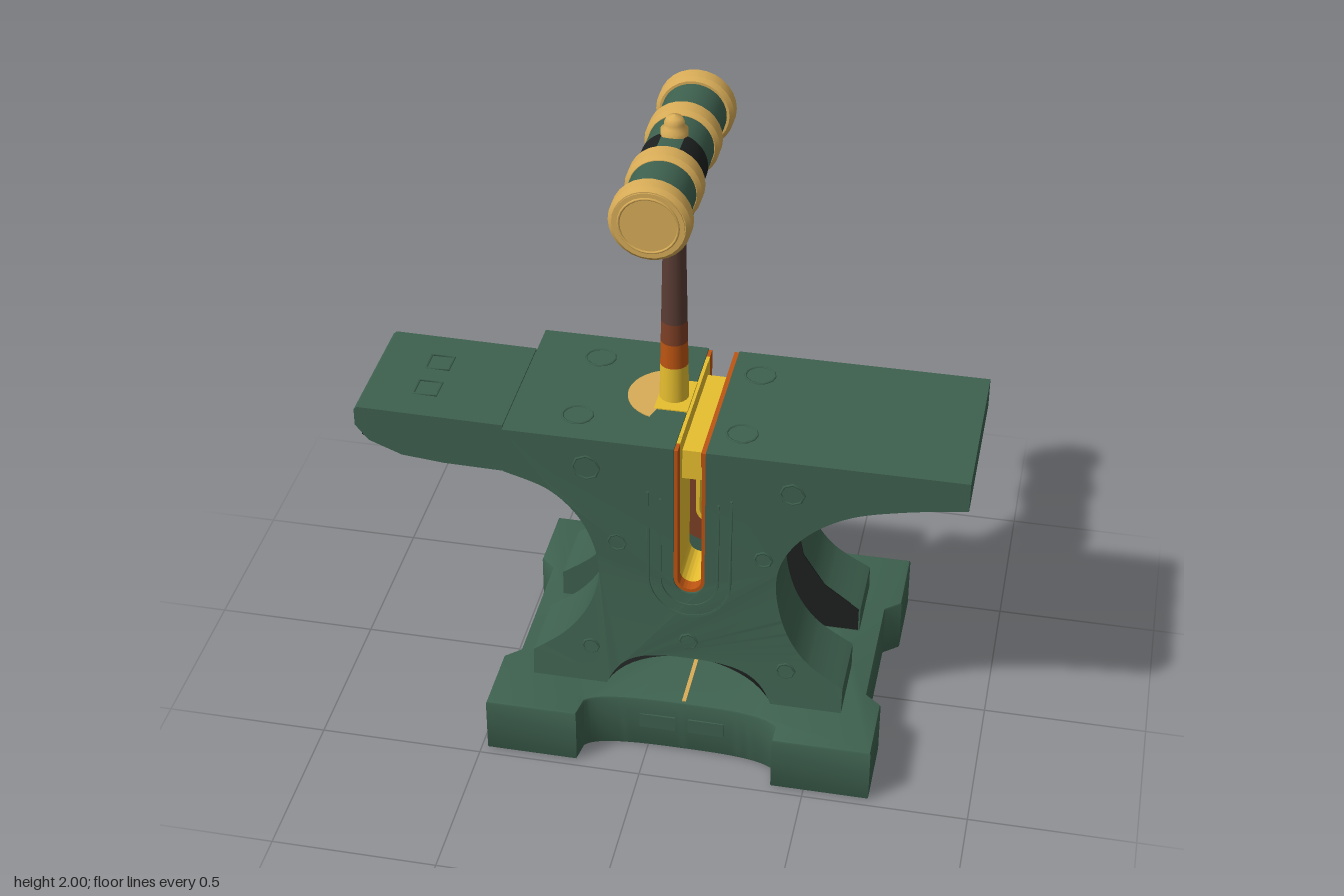
import * as THREE from 'three';
import { toCreasedNormals } from 'three/addons/utils/BufferGeometryUtils.js';

const material = (name, color, side = THREE.FrontSide) => {
  const m = new THREE.MeshStandardMaterial({ color, side });
  m.name = name;
  return m;
};

export function createModel() {
  const root = new THREE.Group();
  root.name = 'anvilAndHammer';
  const green = material('green iron', 0x3e614f);
  const dark = material('soot', 0x1c201f, THREE.DoubleSide);
  const gold = material('brass', 0xd9ad58);
  const yellow = material('hot yellow', 0xebc230);
  const orange = material('hot orange', 0xbd5512);
  const rust = material('rust', 0x7d3f25);
  const brown = material('brown grip', 0x5a3c34);

  const add = (name, geo, mat, x = 0, y = 0, z = 0, parent = root) => {
    const mesh = new THREE.Mesh(geo, mat);
    mesh.name = name;
    mesh.position.set(x, y, z);
    parent.add(mesh);
    return mesh;
  };
  const v2 = (pts) => pts.map(([x, y]) => new THREE.Vector2(x, y));
  const poly = (pts) => new THREE.Shape(v2(pts));
  // Extrude a shape between two depths, optionally bending its vertices by a rule
  const slab = (shape, z0, z1, rule, bevel = 0) => {
    const geo = new THREE.ExtrudeGeometry(shape, {
      depth: z1 - z0 - 2 * bevel, curveSegments: 16,
      bevelEnabled: bevel > 0, bevelSize: bevel, bevelThickness: bevel, bevelOffset: -bevel, bevelSegments: 2,
    });
    geo.translate(0, 0, z0 + bevel);
    if (rule) {
      const p = geo.attributes.position;
      for (let i = 0; i < p.count; i++) p.setZ(i, rule(p.getX(i), p.getY(i), p.getZ(i)));
    }
    return toCreasedNormals(geo, 0.6);
  };

  // Base with cut-back sides and four corner blocks
  const b = new THREE.Shape();
  b.moveTo(-0.48, -0.475);
  b.lineTo(-0.2, -0.475);
  b.lineTo(-0.19, -0.41);
  b.bezierCurveTo(-0.16, -0.365, 0, -0.365, 0.11, -0.365);
  b.bezierCurveTo(0.22, -0.365, 0.36, -0.365, 0.4, -0.41);
  b.lineTo(0.4, -0.475);
  b.lineTo(0.698, -0.475);
  b.lineTo(0.698, -0.25);
  b.lineTo(0.65, -0.21);
  b.lineTo(0.65, 0.21);
  b.lineTo(0.698, 0.25);
  b.lineTo(0.698, 0.475);
  b.lineTo(0.4, 0.475);
  b.lineTo(0.4, 0.41);
  b.bezierCurveTo(0.36, 0.365, 0.22, 0.365, 0.11, 0.365);
  b.bezierCurveTo(0, 0.365, -0.16, 0.365, -0.19, 0.41);
  b.lineTo(-0.2, 0.475);
  b.lineTo(-0.48, 0.475);
  b.lineTo(-0.48, 0.25);
  b.lineTo(-0.435, 0.21);
  b.lineTo(-0.435, -0.21);
  b.lineTo(-0.48, -0.25);
  const baseGeo = slab(b, 0, 0.185, null, 0.008);
  baseGeo.rotateX(-Math.PI / 2);
  add('base', baseGeo, green);
  add('baseGlowSeam', new THREE.BoxGeometry(0.012, 0.006, 0.71), gold, 0.11, 0.185, 0);

  // Side plates: waisted outline, open slot from the top, arch between the feet
  const SX = 0.108, SW = 0.047, SY = 0.59;
  const s = new THREE.Shape();
  s.moveTo(-0.37, 0.18);
  s.lineTo(-0.14, 0.18);
  s.bezierCurveTo(-0.1, 0.29, -0.04, 0.31, 0.11, 0.31);
  s.bezierCurveTo(0.26, 0.31, 0.33, 0.29, 0.37, 0.18);
  s.lineTo(0.585, 0.18);
  s.lineTo(0.585, 0.27);
  s.splineThru(v2([[0.47, 0.35], [0.4, 0.46], [0.37, 0.6], [0.39, 0.71], [0.46, 0.81], [0.58, 0.89], [0.74, 0.935], [0.918, 0.965]]));
  s.lineTo(0.918, 1.06);
  s.lineTo(SX + SW, 1.06);
  s.lineTo(SX + SW, SY);
  s.absarc(SX, SY, SW, 0, -Math.PI, true);
  s.lineTo(SX - SW, 1.06);
  s.lineTo(-0.45, 1.06);
  s.lineTo(-0.45, 0.91);
  s.splineThru(v2([[-0.32, 0.865], [-0.23, 0.78], [-0.18, 0.67], [-0.168, 0.56], [-0.2, 0.45], [-0.27, 0.35], [-0.37, 0.27]]));
  const flare = (x, y, z) => {
    const t = Math.max(0, (0.65 - y) / 0.47);
    return Math.abs(z) > 0.2 ? z + Math.sign(z) * 0.042 * t ** 1.5 : z;
  };

  // Sooty arch soffit: a strip lofted from the outer arch down to a lower inner one
  const archCurve = (x0, x1, y0, top) => new THREE.CubicBezierCurve(...v2([
    [x0, y0], [x0 + 0.09, y0 + (top - y0) * 1.34], [x1 - 0.09, y0 + (top - y0) * 1.34], [x1, y0]]));
  const soffit = (k) => {
    const n = 20, outer = archCurve(-0.14, 0.37, 0.185, 0.312), inner = archCurve(-0.115, 0.345, 0.185, 0.268);
    const geo = new THREE.PlaneGeometry(1, 1, n, 1);
    for (let i = 0; i <= n; i++) {
      const a = outer.getPoint(i / n), c = inner.getPoint(i / n);
      geo.attributes.position.setXYZ(i, a.x, a.y, flare(a.x, a.y, k * 0.27));
      geo.attributes.position.setXYZ(n + 1 + i, c.x, c.y, k * 0.085);
    }
    if (k < 0) geo.setIndex([...geo.index.array].reverse());
    geo.computeVertexNormals();
    return geo;
  };

  // U-shaped band following the slot
  const uBand = (outer, inner, top) => {
    const u = new THREE.Shape();
    u.moveTo(SX - outer, top);
    u.lineTo(SX - outer, SY);
    u.absarc(SX, SY, outer, Math.PI, Math.PI * 2, false);
    u.lineTo(SX + outer, top);
    u.lineTo(SX + inner, top);
    u.lineTo(SX + inner, SY);
    u.absarc(SX, SY, inner, 0, -Math.PI, true);
    u.lineTo(SX - inner, top);
    return u;
  };

  for (const [side, k] of [['front', 1], ['back', -1]]) {
    const span = (shape, a, c, rule) => (k > 0 ? slab(shape, a, c, rule) : slab(shape, -c, -a, rule));
    add(side + 'Plate', span(s, 0.085, 0.272, flare), green);
    add(side + 'ArchSoffit', soffit(k), dark);
    add(side + 'SlotGlowOuter', span(uBand(0.048, 0.036, 1.055), 0.232, 0.27), orange);
    add(side + 'SlotGlowInner', span(uBand(0.048, 0.036, 1.055), 0.08, 0.232), yellow);
    add(side + 'SlotInnerScorch', span(uBand(0.12, 0.048, 0.9), 0.08, 0.086), rust);
    // Raised outline round the slot and marks on the plate
    add(side + 'SlotOutline', span(uBand(0.128, 0.12, 0.9), 0.268, 0.278, flare), green);
    add(side + 'SlotInnerOutline', span(uBand(0.09, 0.084, 0.88), 0.268, 0.278, flare), green);
    for (const [x, y, r] of [[-0.11, 0.7, 0.028], [0.33, 0.7, 0.026], [-0.19, 0.31, 0.025], [0.41, 0.31, 0.027], [0.41, 0.95, 0.035], [-0.2, 0.96, 0.04], [0.11, 0.37, 0.027]]) {
      add(side + 'Mark', new THREE.TorusGeometry(r, 0.004, 5, 8), green, x, y, flare(x, y, k * 0.272));
    }
    for (const x of [0.03, 0.18]) {
      add(side + 'BaseMark', new THREE.BoxGeometry(0.11, 0.05, 0.008), green, x, 0.1, k * 0.366);
    }
  }

  // Scorched inner faces of the channel on the heel side
  add('channelSoot', slab(poly([[0.23, 0.32], [0.33, 0.27], [0.37, 0.19], [0.58, 0.19], [0.58, 0.27], [0.47, 0.352], [0.4, 0.46], [0.371, 0.6], [0.39, 0.71], [0.46, 0.81], [0.57, 0.885], [0.23, 0.895]]), -0.087, -0.082), dark);
  add('channelScorch', slab(poly([[0.23, 0.4], [0.28, 0.43], [0.32, 0.5], [0.335, 0.6], [0.32, 0.72], [0.28, 0.8], [0.23, 0.83]]), 0.081, 0.086), brown);

  // Top bridge joining the plates, split by the glowing slot
  const L = SX - SW, R = SX + SW;
  add('bridgeLeft', slab(poly([[-0.45, 0.91], [-0.43, 0.9], [L, 0.9], [L, 1.06], [-0.45, 1.06]]), -0.086, 0.086), green);
  add('bridgeRight', slab(poly([[R, 0.9], [0.6, 0.9], [0.74, 0.935], [0.918, 0.965], [0.918, 1.06], [R, 1.06]]), -0.086, 0.086), green);
  add('slotGlowBar', new THREE.BoxGeometry(0.092, 0.1, 0.4), yellow, SX, 0.96, 0);
  add('slotHotEdge', new THREE.BoxGeometry(0.014, 0.05, 0.54), orange, R - 0.007, 1.032, 0);
  add('slotBrightEdge', new THREE.BoxGeometry(0.01, 0.05, 0.4), yellow, L + 0.006, 1.032, 0);
  for (const x of [-0.25, 0.24]) for (const z of [-0.155, 0.155]) {
    add('topMark', new THREE.TorusGeometry(0.045, 0.004, 5, 12).rotateX(Math.PI / 2), green, x, 1.06, z);
  }

  // Horn: slab with a tapering sooty keel, joined by a short neck
  add('hornNeck', new THREE.BoxGeometry(0.04, 0.12, 0.4), green, -0.455, 0.965, 0);
  add('horn', slab(poly([[-0.92, 0.97], [-0.88, 0.92], [-0.78, 0.88], [-0.65, 0.868], [-0.465, 0.865], [-0.465, 1.03], [-0.91, 1.035], [-0.92, 1.025]]), -0.21, 0.21), green);
  add('hornKeel', slab(poly([[-0.9, 0.94], [-0.83, 0.855], [-0.75, 0.82], [-0.65, 0.795], [-0.465, 0.787], [-0.465, 0.866], [-0.65, 0.87], [-0.78, 0.883], [-0.88, 0.925]]),
    -0.21, 0.21, (x, y, z) => (y < 0.86 ? z * 0.45 : z)), dark);
  for (const z of [-0.07, 0.07]) {
    add('hornMark', new THREE.TorusGeometry(0.05, 0.004, 4, 4).rotateX(Math.PI / 2).rotateY(Math.PI / 4), green, -0.73, 1.034, z);
  }

  // Hammer: handle in heat-coloured bands, collar, head
  const hammer = new THREE.Group();
  hammer.name = 'hammer';
  hammer.position.x = 0.008;
  root.add(hammer);
  add('socketFloor', new THREE.CylinderGeometry(0.13, 0.13, 0.008, 20, 1, false, Math.PI * 1.1, Math.PI * 0.8), gold, -0.008, 1.059, 0, hammer);
  add('socketGlow', new THREE.BoxGeometry(0.1, 0.008, 0.16), yellow, 0.005, 1.0595, 0, hammer);
  const radius = (y) => 0.046 - 0.012 * (y - 1) / 0.6;
  for (const [name, y0, y1, mat] of [['Tip', 0.98, 1.18, yellow], ['Hot', 1.18, 1.26, orange], ['Warm', 1.26, 1.33, rust], ['Grip', 1.33, 1.62, brown]]) {
    add('handle' + name, new THREE.CylinderGeometry(radius(y1), radius(y0), y1 - y0, 16), mat, 0, (y0 + y1) / 2, 0, hammer);
  }
  for (const y of [1.615, 1.635]) {
    add('handleRing', new THREE.TorusGeometry(0.033, 0.011, 8, 20).rotateX(Math.PI / 2), gold, 0, y, 0, hammer);
  }
  add('collar', new THREE.LatheGeometry(v2([[0.03, 1.635], [0.033, 1.655], [0.052, 1.675], [0.058, 1.695], [0.052, 1.715], [0.036, 1.728]]), 20), green, 0, 0, 0, hammer);
  add('collarNeck', new THREE.CylinderGeometry(0.045, 0.034, 0.05, 20), dark, 0, 1.75, 0, hammer);

  const HY = 1.85;
  const shell = (start, length, r = 0.095, len = 0.64) => new THREE.CylinderGeometry(r, r, len, 24, 1, true, start, length).rotateX(Math.PI / 2);
  add('headUpper', shell(1.2, Math.PI * 2 - 2.4), green, 0, HY, 0, hammer);
  add('headUnderside', shell(-1.2, 2.4), dark, 0, HY, 0, hammer);
  // Soot climbing both flanks of the middle section
  for (const start of [1.2, Math.PI * 2 - 2.8]) {
    add('headSootPatch', shell(start, 1.6, 0.097, 0.09), dark, 0, HY, 0.052, hammer);
  }
  for (const k of [-1, 1]) {
    // Rounded brass bands
    const band = (r, w) => toCreasedNormals(new THREE.LatheGeometry(
      v2([[0.07, -w], [r - 0.012, -w], [r, -w + 0.012], [r, w - 0.012], [r - 0.012, w], [0.07, w]]), 28).rotateX(Math.PI / 2), 0.4);
    add('headBand', band(0.109, 0.036), gold, 0, HY, k * 0.132, hammer);
    add('headEndBand', band(0.115, 0.032), gold, 0, HY, k * 0.322, hammer);
    add('headFace', new THREE.CylinderGeometry(0.1, 0.1, 0.03, 28).rotateX(Math.PI / 2), gold, 0, HY, k * 0.343, hammer);
    add('headFaceRim', new THREE.TorusGeometry(0.083, 0.004, 6, 28), gold, 0, HY, k * 0.358, hammer);
  }
  add('headFinial', new THREE.LatheGeometry(v2([[0.04, 1.93], [0.04, 1.955], [0.027, 1.962], [0.03, 1.975], [0.022, 1.992], [0, 2]]), 16), gold, 0, 0, 0, hammer);

  return root;
}
